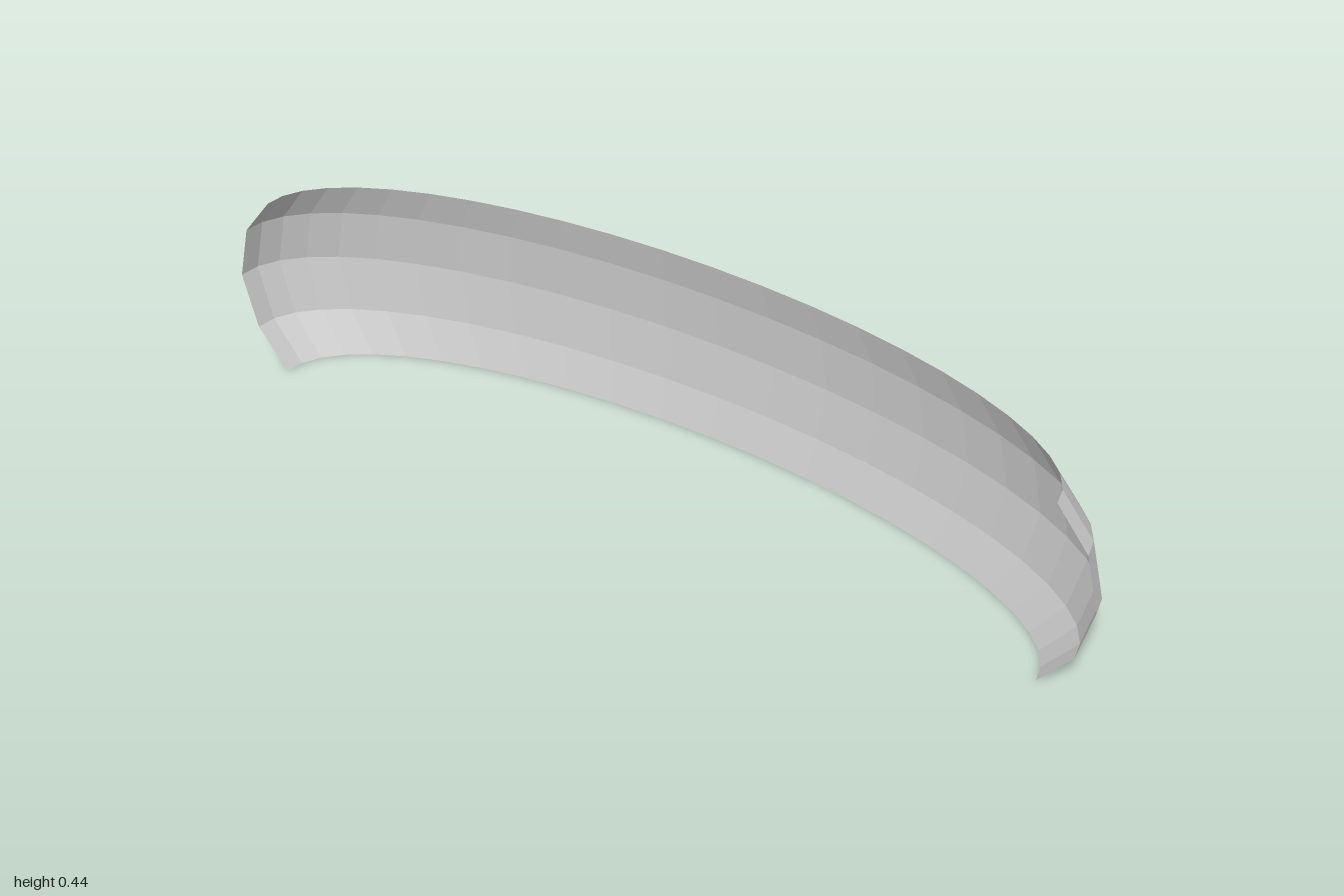
import * as THREE from 'three';

export function createModel() {
  const group = new THREE.Group();
  group.name = 'curvedBand';

  // Bulging cross-section, bottom to top: [radius, height]
  const profile = [[0.9, 0], [0.97, 0.093], [1, 0.22], [0.97, 0.346], [0.9, 0.438]]
    .map(([r, y]) => new THREE.Vector2(r, y));

  // Half turn around the back, squashed into a shallow ellipse
  const depth = 0.328;
  const geometry = new THREE.LatheGeometry(profile, 24, Math.PI / 2, Math.PI);
  geometry.scale(1, 1, depth);
  geometry.translate(0, 0, depth / 2);

  const material = new THREE.MeshStandardMaterial({
    color: 0xcccccc,
    flatShading: true,
    side: THREE.DoubleSide,
  });
  const band = new THREE.Mesh(geometry, material);
  band.name = 'band';
  group.add(band);
  return group;
}
